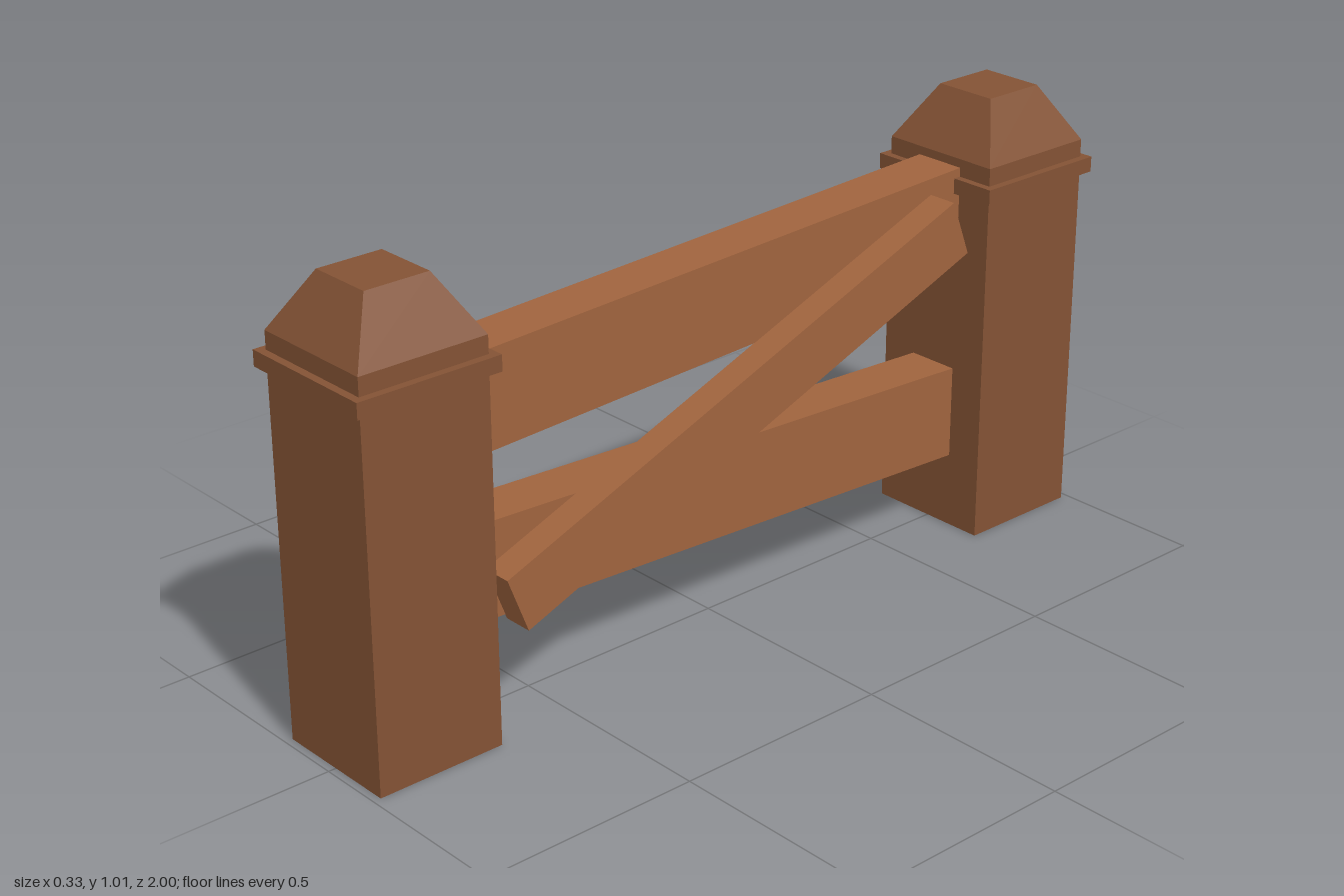
import * as THREE from 'three';

const postWood = new THREE.MeshStandardMaterial({ color: 0x845335, flatShading: true });
const railWood = new THREE.MeshStandardMaterial({ color: 0xa0643e, flatShading: true });

function box(name, material, size, position, tilt = 0) {
  const mesh = new THREE.Mesh(new THREE.BoxGeometry(...size), material);
  mesh.name = name;
  mesh.position.set(...position);
  mesh.rotation.x = tilt;
  return mesh;
}

// Square post with a collar and a tapered cap
function createPost(name, z) {
  const post = new THREE.Group();
  post.name = name;
  post.position.z = z;
  post.add(box('postShaft', postWood, [0.297, 0.885, 0.297], [0, 0.4425, 0]));
  post.add(box('postCollar', postWood, [0.332, 0.035, 0.332], [0, 0.8275, 0]));

  // Four-sided frustum, turned so its faces line up with the shaft
  const taper = new THREE.CylinderGeometry(0.075 * Math.SQRT2, 0.1485 * Math.SQRT2, 0.125, 4);
  taper.rotateY(Math.PI / 4);
  const cap = new THREE.Mesh(taper, postWood);
  cap.name = 'postCap';
  cap.position.y = 0.9475;
  post.add(cap);
  return post;
}

export function createModel() {
  const fence = new THREE.Group();
  fence.name = 'fenceSection';

  fence.add(createPost('frontPost', 0.834), createPost('backPost', -0.834));

  // Two slightly crooked rails, ends set into the posts
  fence.add(box('topRail', railWood, [0.122, 0.215, 1.44], [0, 0.728, 0], 0.0435));
  fence.add(box('bottomRail', railWood, [0.122, 0.215, 1.44], [0, 0.31, 0], -0.0425));

  // Diagonal brace on the left face of the rails
  fence.add(box('diagonalBrace', railWood, [0.07, 0.137, 1.33], [0.095, 0.521, 0], 0.369));

  return fence;
}
